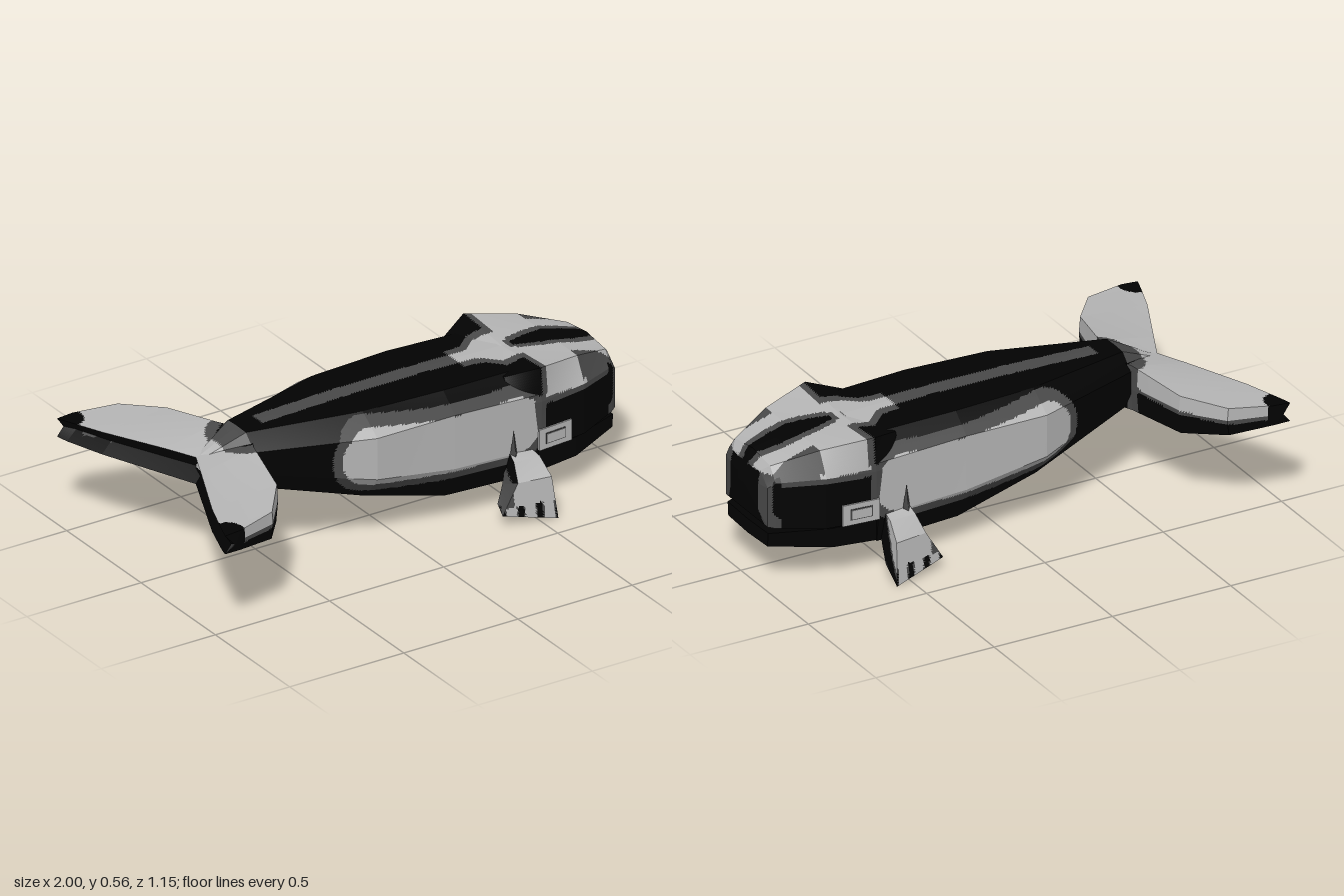
import * as THREE from 'three';

const mat = (name, color) => {
  const m = new THREE.MeshStandardMaterial({ color });
  m.name = name;
  return m;
};
const LIGHT = 0, DARK = 1, BLACK = 2;
const materials = [mat('light grey', 0xb4b4b4), mat('dark grey', 0x484848), mat('black', 0x020202)];
const V = (x, y, z) => new THREE.Vector3(x, y, z);

// Skins closed loops of points with small facets; colorAt(point, normal) picks each facet's material.
function loft(name, loops, colorAt, cell = 0.011) {
  const buckets = [[], [], []];
  const tri = new THREE.Triangle(), mid = V(), nor = V();
  const add = (p, q, r) => {
    tri.set(p, q, r);
    if (tri.getArea() < 1e-9) return;
    tri.getMidpoint(mid);
    tri.getNormal(nor);
    for (const v of [p, q, r]) buckets[colorAt(mid, nor)].push(v.x, v.y, v.z);
  };
  const count = loops[0].length;
  for (let s = 0; s < loops.length - 1; s++) {
    for (let j = 0; j < count; j++) {
      const k = (j + 1) % count;
      const a = loops[s][j], b = loops[s + 1][j], c = loops[s + 1][k], d = loops[s][k];
      const nu = Math.max(1, Math.ceil(Math.max(a.distanceTo(b), d.distanceTo(c)) / cell));
      const nv = Math.max(1, Math.ceil(Math.max(a.distanceTo(d), b.distanceTo(c)) / cell));
      const at = (u, v) => a.clone().lerp(b, u / nu).lerp(d.clone().lerp(c, u / nu), v / nv);
      for (let u = 0; u < nu; u++) for (let v = 0; v < nv; v++) {
        const p = at(u, v), q = at(u + 1, v), r = at(u + 1, v + 1), t = at(u, v + 1);
        add(p, t, q);
        add(q, t, r);
      }
    }
  }
  const geometry = new THREE.BufferGeometry();
  geometry.setAttribute('position', new THREE.Float32BufferAttribute(buckets.flat(), 3));
  let start = 0;
  buckets.forEach((list, i) => {
    geometry.addGroup(start, list.length / 3, i);
    start += list.length / 3;
  });
  geometry.computeVertexNormals();
  const mesh = new THREE.Mesh(geometry, materials);
  mesh.name = name;
  return mesh;
}

// Turns [x, [z, y]...] half sections (top centre to bottom centre) into full loops, closed at both ends.
function sections(list) {
  const loops = list.map(([x, ...half]) => [
    ...half.map(([z, y]) => V(x, y, z)),
    ...half.slice(1, -1).reverse().map(([z, y]) => V(x, y, -z)),
  ]);
  const cap = (loop) => {
    const c = V();
    loop.forEach((p) => c.addScaledVector(p, 1 / loop.length));
    return loop.map(() => c.clone());
  };
  return [cap(loops[0]), ...loops, cap(loops[loops.length - 1])];
}

// Light inside, dark rim, black outside
const band = (d, inner, outer) => (d < inner ? LIGHT : d < outer ? DARK : BLACK);

// Pale saddle behind the head, as a half width that swells towards the front
const saddle = (x) => 0.035 + 0.065 * THREE.MathUtils.smoothstep(x, 0.43, 0.53);

function bodyColor(p) {
  const z = Math.abs(p.z);
  if (p.x < -0.58) return p.y < 0.39 ? BLACK : p.x < -0.67 ? LIGHT : DARK;
  if (p.y > 0.515 && z < 0.17) {
    if (p.x > 0.37) return band(z, saddle(p.x), saddle(p.x) + 0.04);
    return p.x > -0.49 && z < 0.035 ? DARK : BLACK;
  }
  // Long flank patch
  const x = Math.min(0.47, Math.max(-0.15, p.x));
  const cy = 0.385 - 0.02 * Math.sin((Math.PI * (x + 0.15)) / 0.8) - (x + 0.15) * 0.04;
  return band(Math.hypot(p.x - x, p.y - cy), 0.115, 0.15);
}

function headColor(p, n) {
  const z = Math.abs(p.z);
  if (n.x < -0.3) return BLACK;
  if (p.y > 0.445) {
    // Black rear corners beside the saddle
    if (p.x < 0.61 && z > 0.1) return p.x < 0.585 && z > 0.14 ? BLACK : DARK;
    // Spindle along the crown, widening in the middle
    const w = p.x < 0.62 ? 0 : 0.015 + 0.035 * Math.sin(Math.PI * Math.min(1, (p.x - 0.62) / 0.38));
    if (z < w) return BLACK;
    if (z < w + 0.03 && p.x > 0.6) return DARK;
    return p.x > 0.78 && z > 0.15 ? DARK : LIGHT;
  }
  if (p.x > 0.93) {
    const w = 0.1 + Math.max(0, 0.3 - p.y) * 0.5;
    return z > w && z < w + 0.065 ? DARK : BLACK;
  }
  if (p.x < 0.6 && p.y > 0.27) return DARK;
  if (p.y > 0.43 && p.x < 0.8) return LIGHT;
  return p.y > 0.405 ? DARK : BLACK;
}

function flukeColor(p, n) {
  const z = Math.abs(p.z);
  if (Math.hypot(p.x + 0.985, z - 0.545) < 0.075) return BLACK;
  if (n.y < -0.3 || n.x < -0.7) return BLACK;
  // Dark root fading into the pale blade
  const root = Math.hypot(p.x + 0.57, z * 0.7);
  if (root < 0.11) return root < 0.07 ? BLACK : DARK;
  const edge = 0.42 - z * 0.04;
  return p.y > edge ? LIGHT : p.y > edge - 0.015 ? DARK : BLACK;
}

function flipperColor(p, n) {
  const z = Math.abs(p.z);
  const outward = n.z * Math.sign(p.z);
  if (n.x > 0.7) return band(-z - 0.6 * p.y, -0.42, -0.408);
  if (outward < 0.15) return n.y > 0.3 ? DARK : BLACK;
  if (p.y < 0.075) return band(-Math.sin(p.x * 85), 0.2, 0.55);
  return p.x < 0.4 ? DARK : LIGHT;
}

// Builds a part on the +z side from point loops, or its mirror with the winding kept outward
const sided = (loops, side) => {
  const out = loops.map((loop) => loop.map(([x, y, z]) => V(x, y, z * side)));
  return side > 0 ? out : out.reverse();
};

export function createModel() {
  const whale = new THREE.Group();
  whale.name = 'whale';

  whale.add(loft('body', sections([
    [-0.74, [0, 0.455], [0.02, 0.45], [0.03, 0.42], [0.03, 0.38], [0.02, 0.34], [0, 0.335]],
    [-0.58, [0, 0.53], [0.06, 0.528], [0.12, 0.47], [0.12, 0.38], [0.09, 0.318], [0, 0.31]],
    [-0.14, [0, 0.543], [0.17, 0.54], [0.27, 0.47], [0.27, 0.3], [0.19, 0.2], [0, 0.168]],
    [0.2, [0, 0.545], [0.19, 0.54], [0.27, 0.47], [0.272, 0.25], [0.205, 0.113], [0, 0.06]],
    [0.57, [0, 0.538], [0.18, 0.53], [0.265, 0.45], [0.265, 0.23], [0.255, 0.125], [0, 0.118]],
  ]), bodyColor));

  whale.add(loft('head', sections([
    [0.46, [0, 0.52], [0.2, 0.525], [0.25, 0.42], [0.25, 0.23], [0, 0.22]],
    [0.58, [0, 0.537], [0.26, 0.556], [0.27, 0.42], [0.265, 0.22], [0, 0.22]],
    [0.78, [0, 0.528], [0.2, 0.526], [0.25, 0.43], [0.25, 0.226], [0, 0.226]],
    [0.95, [0, 0.492], [0.13, 0.475], [0.172, 0.42], [0.172, 0.235], [0, 0.235]],
    [0.975, [0, 0.46], [0.1, 0.45], [0.155, 0.4], [0.155, 0.24], [0, 0.24]],
    [1, [0, 0.41], [0.02, 0.41], [0.025, 0.4], [0.025, 0.37], [0, 0.37]],
  ]), headColor));

  whale.add(loft('lowerJaw', sections([
    [0.52, [0, 0.22], [0.255, 0.22], [0.255, 0.125], [0, 0.1]],
    [0.75, [0, 0.213], [0.24, 0.215], [0.24, 0.138], [0, 0.13]],
    [0.97, [0, 0.205], [0.15, 0.21], [0.145, 0.155], [0, 0.148]],
  ]), () => BLACK, 0.1));

  // Fluke stations: span, leading x, trailing x, crest y, trailing top y, bottom y
  const fluke = [
    [0, -0.52, -0.76, 0.5, 0.45, 0.315],
    [0.12, -0.58, -0.815, 0.495, 0.45, 0.312],
    [0.37, -0.64, -0.93, 0.465, 0.443, 0.313],
    [0.52, -0.76, -0.985, 0.45, 0.437, 0.34],
    [0.565, -0.93, -1, 0.44, 0.435, 0.36],
    [0.573, -0.96, -0.96, 0.39, 0.39, 0.39],
  ].map(([z, le, te, crest, top, bottom]) => [
    [le, 0.4, z],
    [le + (te - le) * 0.02, crest, z],
    [te, top, z],
    [te + Math.min(0.04, (le - te) * 0.4), 0.395, z],
    [te, Math.max(bottom, 0.34 + z * 0.03), z],
    [le + (te - le) * 0.03, bottom, z],
  ]);

  // Flipper loops: outer front, outer back, inner back, inner front
  const flipper = [
    [[0.54, 0.235, 0.27], [0.44, 0.245, 0.27], [0.44, 0.23, 0.24], [0.54, 0.22, 0.24]],
    [[0.545, 0.225, 0.31], [0.435, 0.225, 0.305], [0.435, 0.17, 0.24], [0.545, 0.16, 0.24]],
    [[0.555, 0.165, 0.375], [0.42, 0.165, 0.355], [0.41, 0.125, 0.265], [0.555, 0.12, 0.265]],
    [[0.568, 0, 0.4], [0.35, 0.05, 0.36], [0.36, 0.078, 0.31], [0.574, 0.062, 0.328]],
    [[0.46, 0.045, 0.352], [0.46, 0.045, 0.352], [0.46, 0.045, 0.352], [0.46, 0.045, 0.352]],
  ];

  for (const side of [1, -1]) {
    const label = side > 0 ? 'front' : 'back';
    whale.add(loft(label + 'Fluke', sided(fluke, side), flukeColor));
    whale.add(loft(label + 'Flipper', sided(flipper, side), flipperColor));

    // Thin spur above the flipper root
    const spur = new THREE.Mesh(new THREE.ConeGeometry(0.018, 0.12, 4), materials[DARK]);
    spur.name = label + 'FlipperSpur';
    spur.position.set(0.455, 0.28, side * 0.272);
    whale.add(spur);

    // Layered eye plate on the side of the head
    const eye = new THREE.Group();
    eye.name = label + 'Eye';
    [['plate', 0.15, 0.085, 0.02, LIGHT], ['rim', 0.09, 0.044, 0.024, DARK], ['lid', 0.082, 0.036, 0.028, LIGHT]]
      .forEach(([part, w, h, d, m]) => {
        const layer = new THREE.Mesh(new THREE.BoxGeometry(w, h, d), materials[m]);
        layer.name = part;
        eye.add(layer);
      });
    eye.position.set(0.642, 0.265, side * 0.258);
    eye.rotation.y = side * 0.08;
    whale.add(eye);
  }
  return whale;
}
